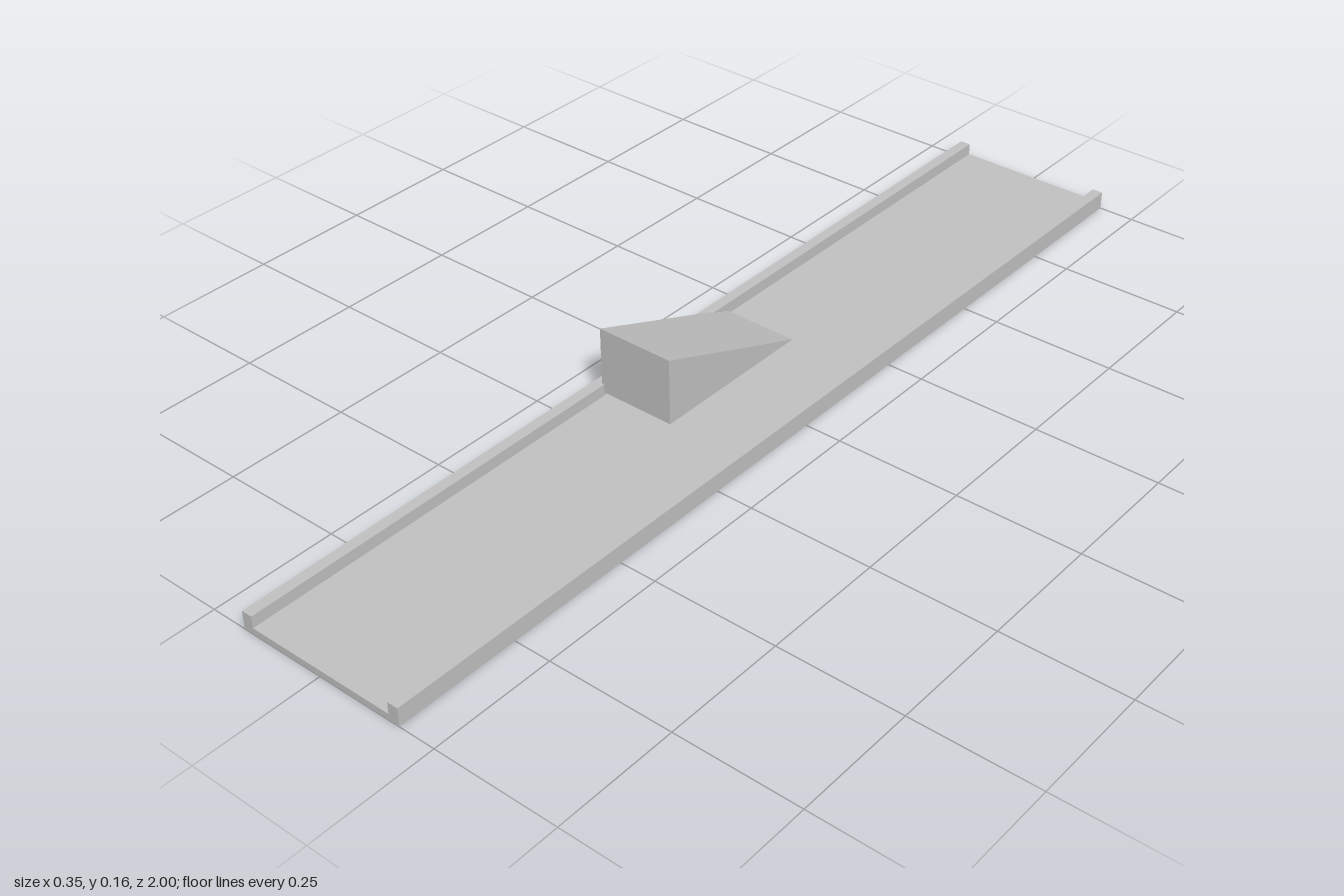
import * as THREE from 'three';

// Extrudes a polygon outline with sharp edges.
function prism(points, depth) {
  const shape = new THREE.Shape(points.map(([x, y]) => new THREE.Vector2(x, y)));
  return new THREE.ExtrudeGeometry(shape, { depth, bevelEnabled: false });
}

export function createModel() {
  const model = new THREE.Group();
  model.name = 'trackWithRamp';

  const grey = new THREE.MeshStandardMaterial({ color: 0xc0c0c0 });
  grey.name = 'light grey';

  // Long shallow channel: floor with a raised rail along each side
  const halfWidth = 0.176, inner = 0.154, floorTop = 0.013, railTop = 0.037;
  const channel = new THREE.Mesh(prism([
    [-halfWidth, 0], [halfWidth, 0], [halfWidth, railTop], [inner, railTop],
    [inner, floorTop], [-inner, floorTop], [-inner, railTop], [-halfWidth, railTop],
  ], 2), grey);
  channel.name = 'track';
  channel.position.z = -1;
  model.add(channel);

  // Wedge ramp hovering just above the floor; side profile is (z, y)
  const wedge = new THREE.Mesh(
    prism([[-0.18, 0.02], [0.173, 0.02], [0.173, 0.156]], 0.162).rotateY(-Math.PI / 2), grey);
  wedge.name = 'ramp';
  wedge.position.x = 0.003;
  model.add(wedge);

  return model;
}
